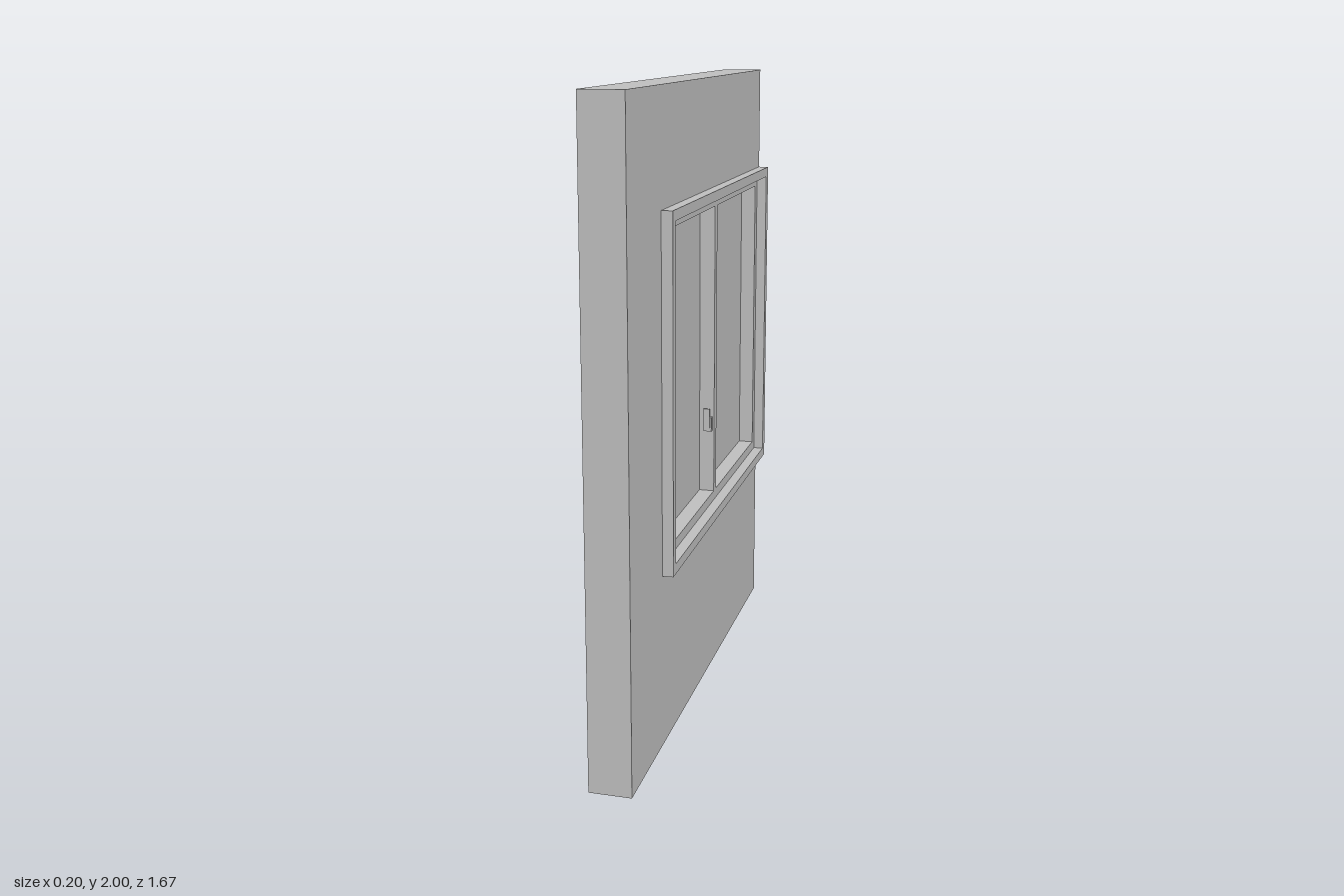
import * as THREE from 'three';

const grey = new THREE.MeshStandardMaterial({ color: 0xc0c0c0 });
grey.name = 'plainGrey';

// Rectangle outline in the wall plane: u runs along -z, v runs up.
const rect = (Type, u0, u1, v0, v1) => {
  const s = new Type();
  s.moveTo(u0, v0).lineTo(u1, v0).lineTo(u1, v1).lineTo(u0, v1).closePath();
  return s;
};

// Slab through the wall thickness, from x0 to x1.
function slab(name, shape, x0, x1) {
  const geometry = new THREE.ExtrudeGeometry(shape, { depth: x1 - x0, bevelEnabled: false });
  geometry.rotateY(Math.PI / 2).translate(x0, 0, 0);
  const mesh = new THREE.Mesh(geometry, grey);
  mesh.name = name;
  return mesh;
}

export function createModel() {
  const group = new THREE.Group();
  group.name = 'wallWithWindow';
  const end = 0.834;

  // Wall with an opening that runs out at its rear end
  const wall = new THREE.Shape([
    [-end, 0], [end, 0], [end, 0.555], [-0.5, 0.555],
    [-0.5, 1.652], [end, 1.652], [end, 2], [-end, 2],
  ].map(([u, v]) => new THREE.Vector2(u, v)));
  group.add(slab('wall', wall, -0.066, 0.066));

  // Outer frame, proud of the wall on both faces
  const frame = rect(THREE.Shape, -0.5, end, 0.555, 1.652);
  frame.holes.push(rect(THREE.Path, -0.469, 0.802, 0.587, 1.62));
  group.add(slab('outerFrame', frame, -0.1, 0.1));

  // Sash with two lights and a centre mullion
  const panes = [[-0.435, 0.15], [0.182, 0.77]];
  const sash = rect(THREE.Shape, -0.469, 0.802, 0.587, 1.62);
  for (const [u0, u1] of panes) sash.holes.push(rect(THREE.Path, u0, u1, 0.619, 1.588));
  group.add(slab('sash', sash, -0.066, 0.066));

  // Panes
  for (const [u0, u1] of panes) {
    group.add(slab('pane', rect(THREE.Shape, u0, u1, 0.619, 1.588), -0.016, 0.016));
  }

  // Small latch on the side of the mullion: base block and upright lever
  const latch = new THREE.Group();
  latch.name = 'latch';
  latch.add(slab('latchBase', rect(THREE.Shape, 0.135, 0.15, 0.832, 0.88), 0.033, 0.06));
  latch.add(slab('latchLever', rect(THREE.Shape, 0.132, 0.137, 0.845, 0.91), 0.033, 0.055));
  group.add(latch);

  return group;
}
